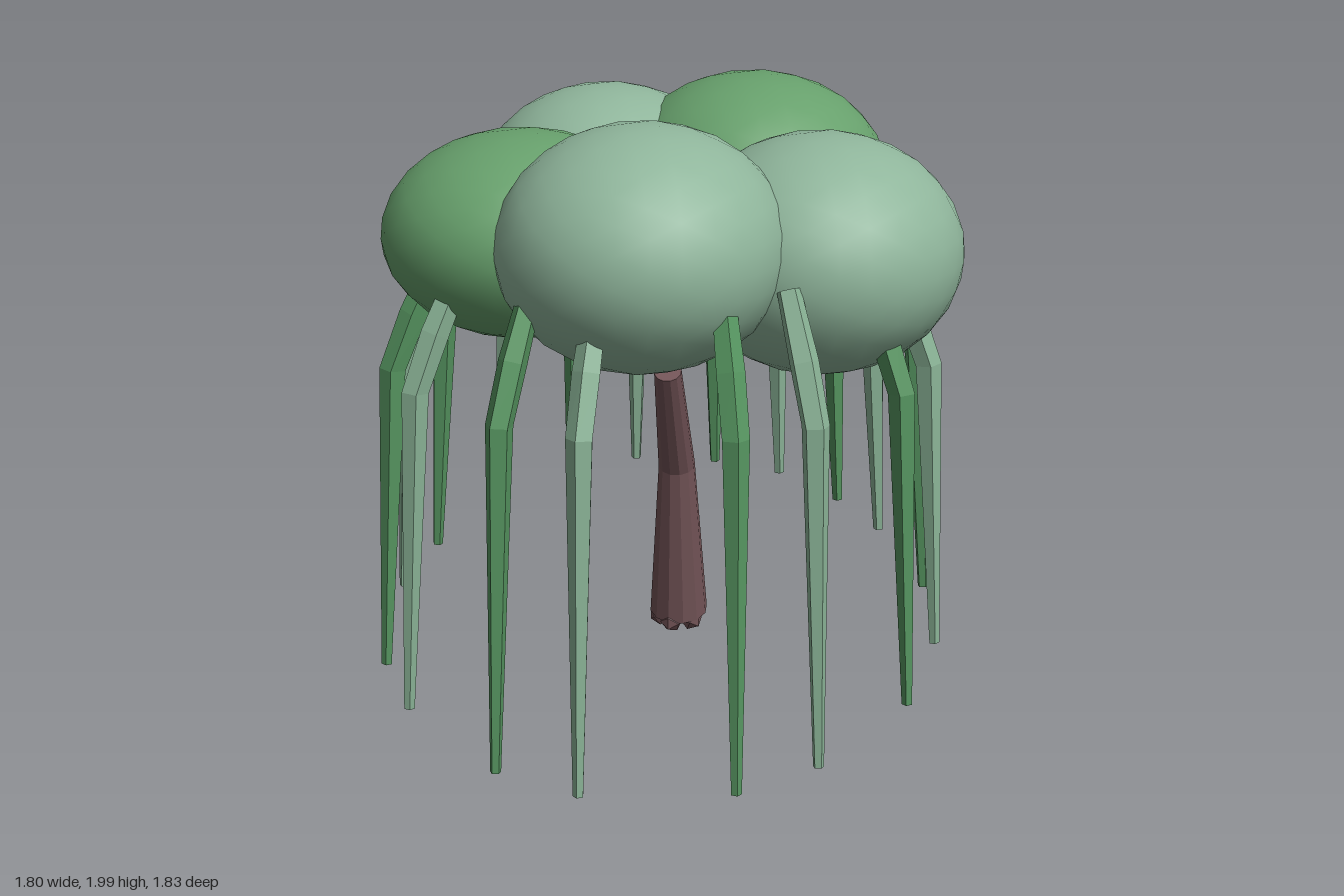
import * as THREE from 'three';

const mat = (name, color) => {
  const m = new THREE.MeshStandardMaterial({ color });
  m.name = name;
  return m;
};

// Tapered tube through points [x, y, z, radius]; rings stay horizontal unless tilted along the path
function taperedTube(points, sides, startAngle) {
  const pos = [], index = [];
  const centres = points.map(p => new THREE.Vector3(p[0], p[1], p[2]));
  centres.forEach((c, i) => {
    const dir = centres[Math.min(i + 1, centres.length - 1)].clone()
      .sub(centres[Math.max(i - 1, 0)]).normalize();
    const q = new THREE.Quaternion().setFromUnitVectors(new THREE.Vector3(0, 1, 0), dir);
    for (let s = 0; s < sides; s++) {
      const a = startAngle + s / sides * Math.PI * 2;
      const v = new THREE.Vector3(Math.sin(a), 0, Math.cos(a))
        .multiplyScalar(points[i][3]).applyQuaternion(q).add(c);
      pos.push(v.x, v.y, v.z);
    }
  });
  for (let i = 0; i < points.length - 1; i++) {
    for (let s = 0; s < sides; s++) {
      const a = i * sides + s, b = i * sides + (s + 1) % sides;
      index.push(a, b, b + sides, a, b + sides, a + sides);
    }
  }
  // End caps
  const last = (points.length - 1) * sides;
  for (let s = 1; s < sides - 1; s++) {
    index.push(0, s + 1, s, last, last + s, last + s + 1);
  }
  const g = new THREE.BufferGeometry();
  g.setAttribute('position', new THREE.Float32BufferAttribute(pos, 3));
  g.setIndex(index);
  const flat = g.toNonIndexed();
  flat.computeVertexNormals();
  return flat;
}

export function createModel() {
  const model = new THREE.Group();
  model.name = 'weepingTree';
  const paleLeaf = mat('paleLeaf', 0x8fb59b);
  const greenLeaf = mat('greenLeaf', 0x67a06c);
  const paleFrond = mat('paleFrond', 0x8ab396);
  const greenFrond = mat('greenFrond', 0x569560);
  const bark = mat('bark', 0x735457);

  const add = (name, geometry, material, parent = model) => {
    const mesh = new THREE.Mesh(geometry, material);
    mesh.name = name;
    parent.add(mesh);
    return mesh;
  };

  // Canopy: five overlapping clumps [name, centre, radii, colour]
  const clump = new THREE.IcosahedronGeometry(1, 4);
  [
    ['frontClump', [0.06, 1.64, 0.38], [0.43, 0.36, 0.45], paleLeaf],
    ['leftClump', [0.47, 1.56, -0.03], [0.43, 0.36, 0.445], paleLeaf],
    ['backClump', [0.1, 1.65, -0.48], [0.43, 0.34, 0.44], greenLeaf],
    ['backRightClump', [-0.36, 1.6, -0.37], [0.42, 0.34, 0.43], paleLeaf],
    ['frontRightClump', [-0.39, 1.6, 0.22], [0.43, 0.31, 0.43], greenLeaf],
  ].forEach(([name, centre, radii, material]) => {
    const mesh = add(name, clump, material);
    mesh.position.set(...centre);
    mesh.scale.set(...radii);
  });

  // Hanging fronds, ringed round the canopy in alternating colours: tip [x, y, z]
  const fronds = new THREE.Group();
  fronds.name = 'fronds';
  model.add(fronds);
  [
    [0.06, 0.12, 0.9], [0.49, 0.13, 0.74], [0.68, 0.16, 0.55],
    [0.84, 0.21, 0.16], [0.84, 0.28, -0.15], [0.73, 0.35, -0.41],
    [0.51, 0.43, -0.64], [0.33, 0.47, -0.75], [0.1, 0.52, -0.8],
    [-0.14, 0.53, -0.8], [-0.41, 0.53, -0.73], [-0.6, 0.5, -0.59],
    [-0.78, 0.45, -0.4], [-0.88, 0.38, -0.09], [-0.89, 0.32, 0.14],
    [-0.76, 0.23, 0.52], [-0.59, 0.19, 0.7], [-0.21, 0.14, 0.89],
  ].forEach(([x, y, z], i) => {
    const path = [
      [x, y, z, 0.017],
      [x * 0.935, 1.21, z * 0.935, 0.042],
      [x * 0.86, 1.38, z * 0.86, 0.044],
      [x * 0.76, 1.57, z * 0.76, 0.036],
    ];
    add('frond', taperedTube(path, 5, Math.atan2(x, z)), i % 2 ? greenFrond : paleFrond, fronds);
  });

  // Leaning trunk with a bend halfway
  const trunk = taperedTube([
    [-0.18, 0.06, -0.55, 0.1],
    [-0.15, 0.64, -0.45, 0.062],
    [-0.105, 1.04, -0.25, 0.045],
  ], 12, 0);
  add('trunk', trunk, bark);

  // Small root lumps under the trunk
  const rootShape = new THREE.IcosahedronGeometry(0.04, 0);
  for (let i = 0; i < 5; i++) {
    const a = i / 5 * Math.PI * 2;
    const root = add('root', rootShape, bark);
    root.position.set(-0.18 + Math.sin(a) * 0.06, 0.04, -0.54 + Math.cos(a) * 0.06);
    root.rotation.y = a;
  }
  return model;
}
